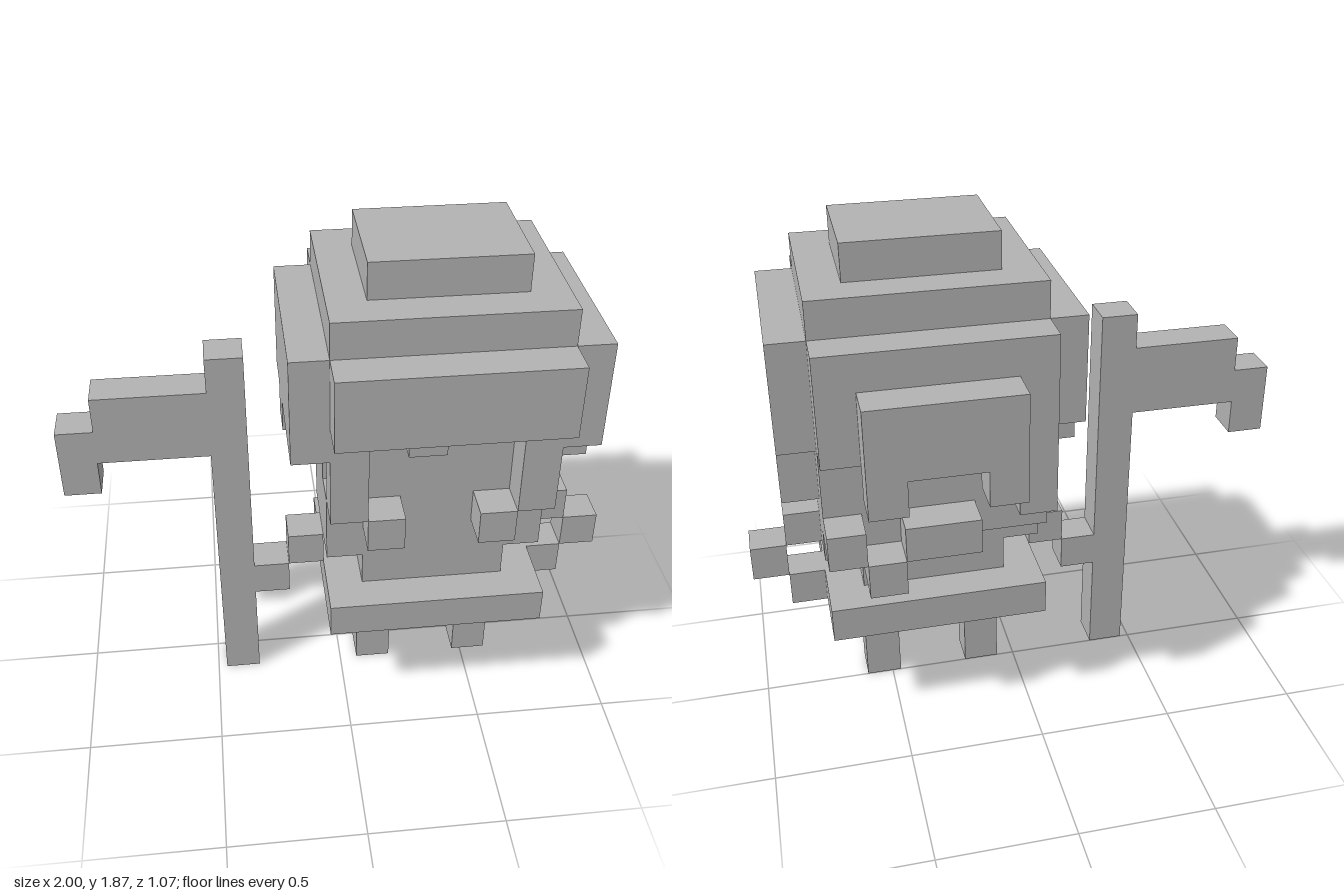
import * as THREE from 'three';

// One block of the grid; x, y, z ranges below are counted in blocks.
const U = 2 / 15;

export function createModel() {
  const group = new THREE.Group();
  const grey = new THREE.MeshStandardMaterial({ color: 0xb2b2b2, flatShading: true });
  grey.name = 'grey';

  const block = (name, x0, x1, y0, y1, z0, z1) => {
    const mesh = new THREE.Mesh(
      new THREE.BoxGeometry((x1 - x0) * U, (y1 - y0) * U, (z1 - z0) * U), grey);
    mesh.position.set(((x0 + x1) / 2 - 7.5) * U, ((y0 + y1) / 2) * U, ((z0 + z1) / 2 - 4) * U);
    mesh.name = name;
    group.add(mesh);
  };
  // The same block on both sides of the body, whose middle is at x = 10
  const pair = (name, x0, x1, ...rest) => {
    block(name + 'Left', x0, x1, ...rest);
    block(name + 'Right', 20 - x1, 20 - x0, ...rest);
  };

  // Legs, skirt and body
  pair('leg', 11, 12, 0, 3, 4, 5);
  block('skirt', 7, 13, 3, 4, 2, 7);
  block('waist', 8, 12, 4, 5, 3, 6);
  block('chest', 7, 13, 5, 6, 3, 6);
  block('shoulders', 7, 13, 6, 7, 2, 6);
  pair('chestKnob', 11, 12, 6, 7, 6, 7);

  // Head and nose
  block('head', 8, 12, 7, 12, 2, 6);
  block('nose', 9, 10, 9, 10, 6, 7);

  // Hair: stepped crown, fringe, side and back panels
  block('crownTop', 8, 12, 13, 14, 3, 6);
  block('crown', 7, 13, 12, 13, 2, 7);
  block('hairCap', 7, 13, 10, 12, 2, 7);
  block('fringe', 7, 13, 10, 12, 7, 8);
  pair('frontLock', 12, 13, 7, 10, 6, 7);
  pair('innerSideHair', 12, 13, 7, 10, 2, 5);
  pair('temple', 12, 13, 9, 10, 5, 6);
  pair('sideHair', 13, 14, 9, 12, 2, 7);
  block('sideLockLeft', 13, 14, 8, 9, 3, 6);
  block('sideLockTipLeft', 13, 14, 7, 8, 3, 4);
  block('sideLockRight', 6, 7, 8, 9, 3, 4);
  block('backHair', 7, 13, 9, 12, 1, 2);
  block('backLock', 7, 8, 7, 9, 1, 2);
  block('bun', 8, 12, 9, 11, 0, 1);
  pair('bunLock', 11, 12, 8, 9, 0, 1);

  // Ragged scarf at the back
  block('scarfEnd', 12, 13, 6, 7, 1, 2);
  block('scarfMiddle', 11, 12, 5, 6, 1, 3);
  block('scarf', 9, 11, 6, 7, 1, 2);

  // Left arm, bent back towards the skirt
  block('armLeft', 13, 14, 5, 6, 4, 5);
  block('elbowLeft', 14, 15, 4, 5, 4, 5);
  block('handLeft', 13, 14, 3, 4, 4, 5);

  // Right arm reaching out to the scythe
  block('armRight', 6, 7, 4, 5, 4, 5);
  block('handRight', 5, 6, 3, 4, 4, 5);
  block('scytheStaff', 4, 5, 0, 11, 4, 5);
  block('scytheBlade', 1, 4, 8, 10, 4, 5);
  block('scytheTip', 0, 1, 7, 9, 4, 5);

  return group;
}
